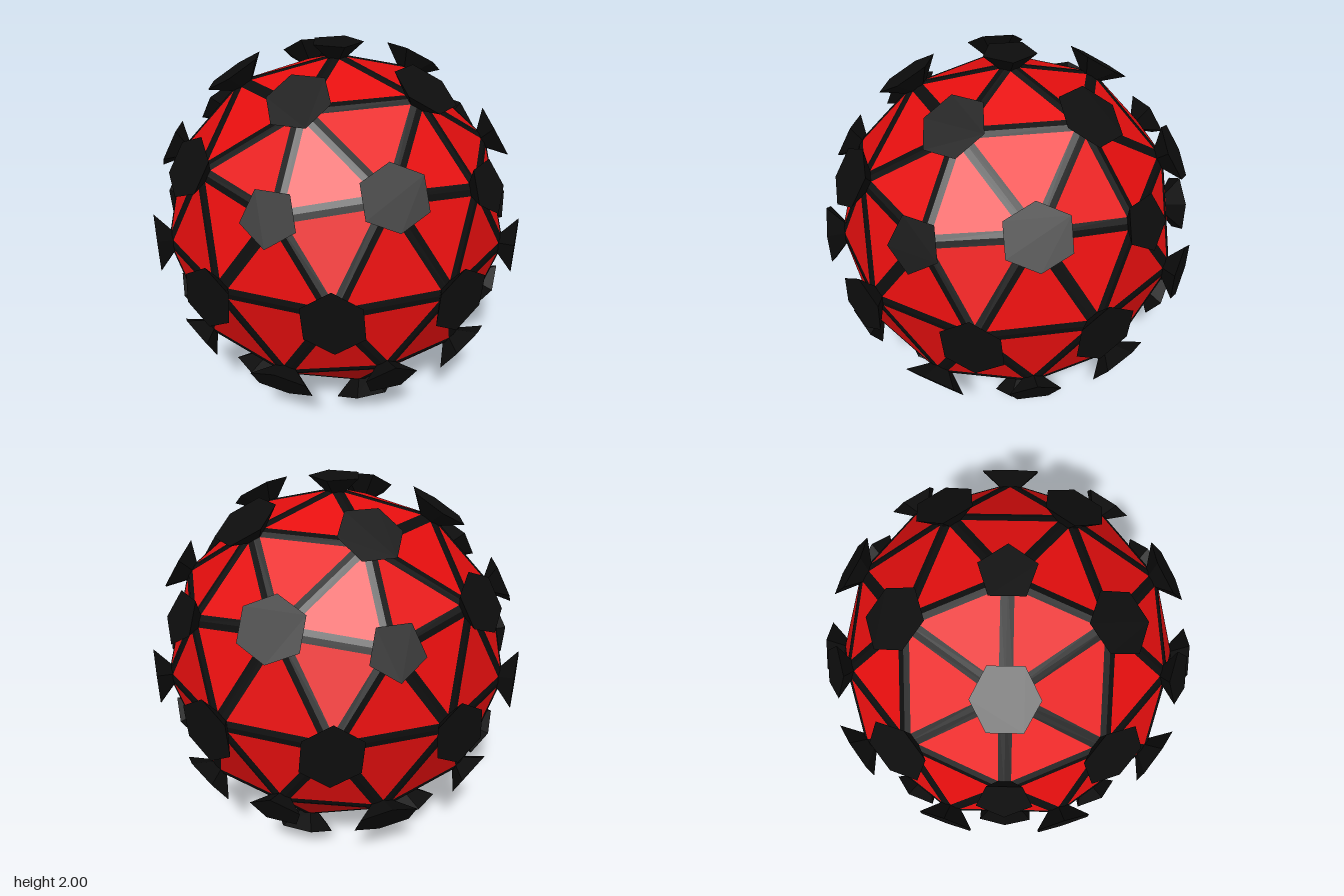
import * as THREE from 'three';

const SHELL = 0.94;      // radius of the faceted ball
const CAP = 1.0;         // distance of the flat stud tops from the centre
const STRUT = 0.0315;    // half width of a strut
const FLARE = 2.65;      // how far a stud widens from base to top

// Icosahedron with a vertex at each pole, each face split in four
function ballTriangles() {
  const ring = (y, turn) => Array.from({ length: 5 }, (_, i) => {
    const a = (i + turn) * Math.PI * 0.4, r = Math.sqrt(1 - y * y);
    return new THREE.Vector3(r * Math.cos(a), y, r * Math.sin(a));
  });
  const top = new THREE.Vector3(0, 1, 0), bottom = new THREE.Vector3(0, -1, 0);
  const U = ring(Math.sqrt(0.2), 0), L = ring(-Math.sqrt(0.2), 0.5);
  const tris = [];
  for (let i = 0; i < 5; i++) {
    const j = (i + 1) % 5;
    const faces = [[top, U[j], U[i]], [U[i], U[j], L[i]], [L[i], U[j], L[j]], [bottom, L[i], L[j]]];
    for (const [a, b, c] of faces) {
      const mid = (p, q) => p.clone().add(q).normalize();
      const ab = mid(a, b), bc = mid(b, c), ca = mid(c, a);
      tris.push([a, ab, ca], [ab, b, bc], [ca, bc, c], [ab, bc, ca]);
    }
  }
  return tris.map(t => t.map(p => p.clone().multiplyScalar(SHELL)));
}

// Flat polygon as a fan of triangles
function addPolygon(out, pts) {
  for (let i = 1; i < pts.length - 1; i++) {
    for (const p of [pts[0], pts[i], pts[i + 1]]) out.push(p.x, p.y, p.z);
  }
}

function flatMesh(name, positions, material) {
  const geometry = new THREE.BufferGeometry();
  geometry.setAttribute('position', new THREE.Float32BufferAttribute(positions, 3));
  geometry.computeVertexNormals();
  const mesh = new THREE.Mesh(geometry, material);
  mesh.name = name;
  return mesh;
}

// Inset corners of a triangle, an even strut width away from its edges
function insetTriangle([a, b, c]) {
  const la = b.distanceTo(c), lb = c.distanceTo(a), lc = a.distanceTo(b);
  const sum = la + lb + lc;
  const centre = new THREE.Vector3()
    .addScaledVector(a, la / sum).addScaledVector(b, lb / sum).addScaledVector(c, lc / sum);
  const area = b.clone().sub(a).cross(c.clone().sub(a)).length() / 2;
  const inradius = 2 * area / sum;
  return [a, b, c].map(p => p.clone().lerp(centre, STRUT / inradius));
}

export function createModel() {
  const red = new THREE.MeshStandardMaterial({ color: 0xe70e0e, flatShading: true });
  const black = new THREE.MeshStandardMaterial({ color: 0x0d0d0d, flatShading: true });
  const panels = [], struts = [], nodes = new Map();

  // Panels and the strut strips around them
  for (const tri of ballTriangles()) {
    const [a, b, c] = tri;
    const normal = b.clone().sub(a).cross(c.clone().sub(a));
    if (normal.dot(a) < 0) tri.reverse();
    const inner = insetTriangle(tri);
    addPolygon(panels, inner);
    tri.forEach((p, i) => {
      const j = (i + 1) % 3;
      addPolygon(struts, [p, tri[j], inner[j], inner[i]]);
      const key = p.toArray().map(v => Math.round(v * 1000) + 0).join();
      if (!nodes.has(key)) nodes.set(key, { point: p, corners: [] });
      nodes.get(key).corners.push(inner[i]);
    });
  }

  const group = new THREE.Group();
  group.name = 'studdedBall';
  group.add(flatMesh('panels', panels, red), flatMesh('struts', struts, black));

  // Flared studs with flat tops, one on every joint
  const studs = new THREE.Group();
  studs.name = 'studs';
  for (const { point, corners } of nodes.values()) {
    const axis = point.clone().normalize();
    const across = p => p.clone().addScaledVector(axis, -p.dot(axis));
    const u = across(corners[0]).normalize(), v = axis.clone().cross(u);
    const angle = p => Math.atan2(p.dot(v), p.dot(u));
    const base = [...corners].sort((p, q) => angle(p) - angle(q));
    const rim = base.map(p => across(p).multiplyScalar(FLARE).addScaledVector(axis, CAP));
    const faces = [];
    addPolygon(faces, rim);
    base.forEach((p, i) => {
      const j = (i + 1) % base.length;
      addPolygon(faces, [p, base[j], rim[j], rim[i]]);
    });
    studs.add(flatMesh('stud', faces, black));
  }
  group.add(studs);
  group.position.y = 1;

  const model = new THREE.Group();
  model.name = 'model';
  model.add(group);
  return model;
}
